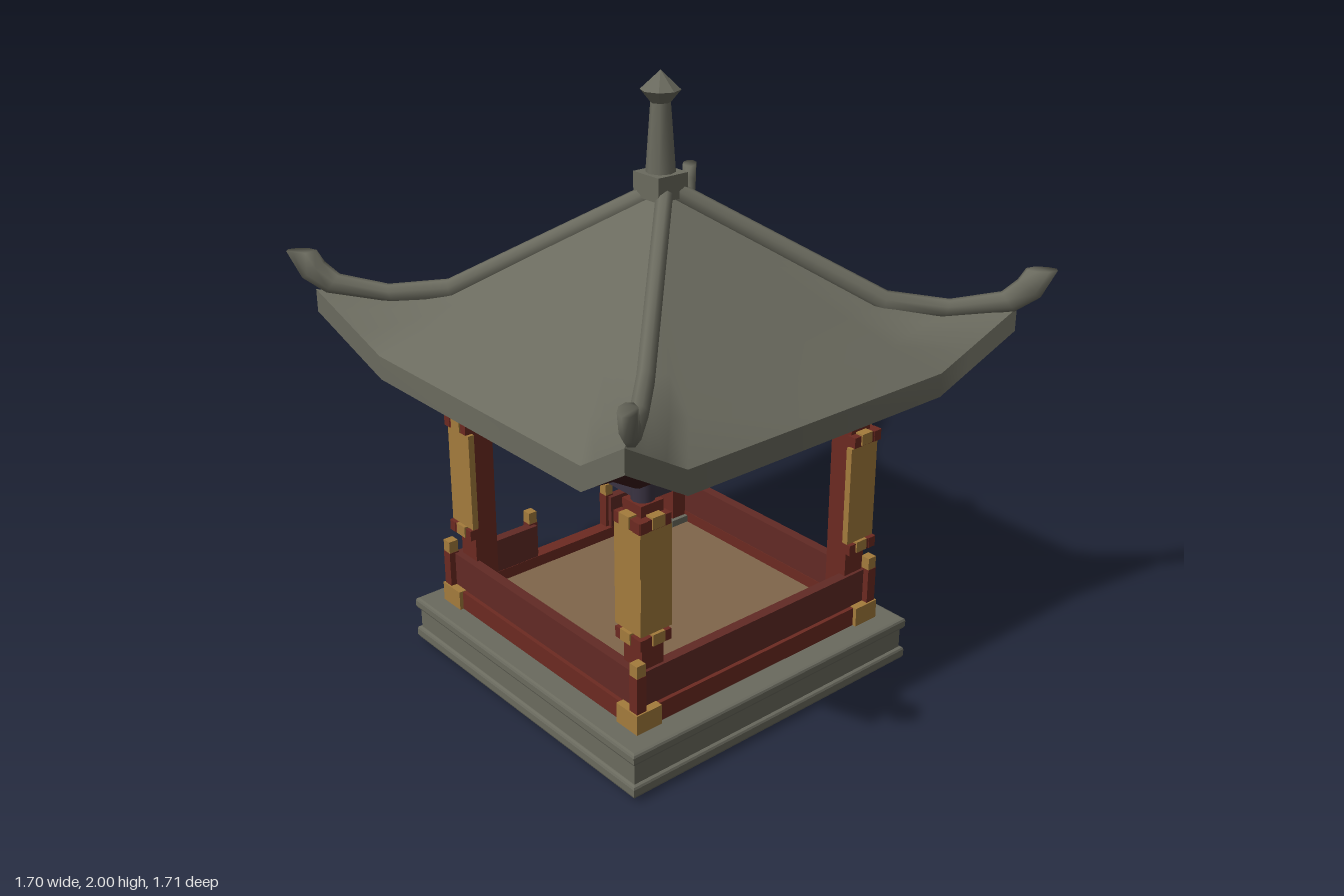
import * as THREE from 'three';

const mat = (name, color) => {
  const m = new THREE.MeshStandardMaterial({ color });
  m.name = name;
  return m;
};

export function createModel() {
  const stone = mat('grey stone', 0x6a6a5e);
  const red = mat('red timber', 0x6c2a21);
  const darkRed = mat('dark red panel', 0x622a25);
  const gold = mat('gold trim', 0xa47b3c);
  const tan = mat('tan floor', 0x80664b);
  const maroon = mat('maroon soffit', 0x3c191a);
  const purple = mat('dark purple beam', 0x3a3342);

  const model = new THREE.Group();
  model.name = 'pavilion';
  const group = (name, offset, parent = model) => {
    const g = new THREE.Group();
    g.name = name;
    g.position.set(offset, 0, offset);
    parent.add(g);
    return g;
  };
  const add = (parent, name, geo, material) => {
    const m = new THREE.Mesh(geo, material);
    m.name = name;
    parent.add(m);
    return m;
  };
  // Box given by its centre in x and z, its size, and its bottom and top heights
  const box = (parent, name, material, x, z, w, d, y0, y1) => {
    const m = add(parent, name, new THREE.BoxGeometry(w, y1 - y0, d), material);
    m.position.set(x, (y0 + y1) / 2, z);
    return m;
  };
  const surface = (pos, index) => {
    const geo = new THREE.BufferGeometry();
    geo.setAttribute('position', new THREE.Float32BufferAttribute(pos, 3));
    geo.setIndex(index);
    geo.computeVertexNormals();
    return geo;
  };
  const square = (h) => [[-h, -h], [h, -h], [h, h], [-h, h]].map(([x, y]) => new THREE.Vector2(x, y));

  // Stone plinth: stacked square rings, open in the middle
  const base = group('base', -0.022);
  const ring = (name, outer, inner, y0, y1, bevel = 0) => {
    const shape = new THREE.Shape(square(outer - bevel));
    shape.holes.push(new THREE.Path(square(inner + bevel)));
    const geo = new THREE.ExtrudeGeometry(shape, {
      depth: y1 - y0 - 2 * bevel, bevelEnabled: bevel > 0,
      bevelSize: bevel, bevelThickness: bevel, bevelSegments: 2,
    });
    geo.rotateX(-Math.PI / 2);
    add(base, name, geo, stone).position.y = y0 + bevel;
  };
  ring('lowerMoulding', 0.59, 0.5, 0.015, 0.058, 0.01);
  ring('plinthWall', 0.578, 0.49, 0.055, 0.135);
  ring('upperMoulding', 0.59, 0.48, 0.13, 0.17, 0.01);
  box(base, 'floor', tan, 0, 0, 0.93, 0.93, 0.185, 0.195);

  // Entrance ramp at the back
  const wedge = new THREE.Shape([[0.57, 0], [0.838, 0], [0.57, 0.16]].map(([a, b]) => new THREE.Vector2(a, b)));
  const rampGeo = new THREE.ExtrudeGeometry(wedge, { depth: 0.325, bevelEnabled: false });
  rampGeo.translate(0, 0, -0.1625);
  rampGeo.rotateY(Math.PI / 2);
  add(base, 'ramp', rampGeo, stone).position.x = 0.003;

  // Low fence, sill beams and corner trim; side 2 faces the back and has a gate
  const fence = group('fence', -0.022);
  for (let i = 0; i < 4; i++) {
    const side = group('fenceSide', 0, fence);
    side.rotation.y = (i * Math.PI) / 2;
    box(side, 'sillBeam', red, 0, 0.48, 0.97, 0.05, 0.165, 0.235);
    box(side, 'cornerTrim', gold, 0.47, 0.47, 0.097, 0.097, 0.166, 0.237);
    box(side, 'cornerPost', red, 0.495, 0.495, 0.036, 0.036, 0.235, 0.36);
    box(side, 'cornerPostCap', gold, 0.495, 0.495, 0.034, 0.034, 0.355, 0.402);
    if (i !== 2) {
      box(side, 'fencePanel', darkRed, 0, 0.474, 0.97, 0.035, 0.23, 0.355);
      continue;
    }
    for (const s of [-1, 1]) {
      box(side, 'fencePanel', darkRed, s * 0.325, 0.474, 0.32, 0.035, 0.23, 0.355);
      box(side, 'gatePost', red, s * 0.17, 0.49, 0.034, 0.036, 0.2, 0.36);
      box(side, 'gatePostCap', gold, s * 0.17, 0.49, 0.032, 0.034, 0.355, 0.402);
      box(side, 'thresholdTrim', gold, s * 0.16, 0.53, 0.035, 0.04, 0.165, 0.203);
    }
    box(side, 'threshold', red, 0, 0.522, 0.3, 0.04, 0.165, 0.198);
  }

  // Columns with boards on the two outer faces, and the beams joining them
  const frame = group('frame', -0.015);
  for (let i = 0; i < 4; i++) {
    const corner = group('columnCorner', 0, frame);
    corner.rotation.y = (i * Math.PI) / 2;
    const c = 0.432;
    box(corner, 'column', red, c, c, 0.084, 0.084, 0.18, 0.9);
    box(corner, 'columnFoot', stone, c, c, 0.115, 0.115, 0.18, 0.22);
    const neck = add(corner, 'columnNeck', new THREE.CylinderGeometry(0.036, 0.036, 0.1, 12), purple);
    neck.position.set(c, 0.945, c);
    // Side beams are purple; the front and back ones are maroon, the front faced in purple
    box(corner, 'topBeam', i % 2 ? purple : maroon, 0, c, 2 * c, 0.036, 0.9, 0.988);
    if (i === 0) box(corner, 'beamFacing', purple, 0, c + 0.02, 2 * c, 0.006, 0.9, 0.988);
    // The same set of parts is laid on the z face and, mirrored, on the x face
    const onBothFaces = (name, material, a, out, w, d, y0, y1) => {
      box(corner, name, material, a, out, w, d, y0, y1);
      box(corner, name, material, out, a, d, w, y0, y1);
    };
    onBothFaces('board', gold, 0.433, 0.482, 0.118, 0.022, 0.485, 0.825);
    for (const y of [0.443, 0.828]) {
      onBothFaces('boardBracket', red, 0.441, 0.484, 0.12, 0.03, y, y + 0.036);
      onBothFaces('boardClip', gold, c, 0.486, 0.046, 0.036, y + 0.004, y + 0.042);
    }
  }

  // Roof: each row is [hip distance, hip height, middle distance, middle height]
  const loft = (rows) => {
    const steps = [-1, -0.89, -0.78, -0.66, 0, 0.66, 0.78, 0.89, 1];
    const pos = [], index = [], n = steps.length;
    rows.forEach(([h, yh, m, ym], r) => steps.forEach((s, k) => {
      const w = Math.max(0, (Math.abs(s) - 0.66) / 0.34);
      pos.push(s * h, ym + (yh - ym) * w, m + (h - m) * w);
      if (r === 0 || k === 0) return;
      const d = r * n + k, a = d - n - 1;
      index.push(a, d - 1, d, a, d, a + 1);
    }));
    return surface(pos, index);
  };
  const eaveTop = [0.775, 1.285, 0.715, 1.12];
  const eaveLow = [0.775, 1.21, 0.715, 1.042];
  const soffitOuter = [0.59, 1.042, 0.59, 1.042];
  const soffitInner = [0.515, 0.988, 0.515, 0.988];
  const roofParts = [
    ['roofTiles', stone, loft([[0, 1.645, 0, 1.645], [0.25, 1.46, 0.25, 1.46], [0.48, 1.285, 0.48, 1.288],
      [0.62, 1.262, 0.6, 1.2], eaveTop])],
    ['eaveFascia', stone, loft([eaveTop, eaveLow])],
    ['soffitEdge', maroon, loft([eaveLow, soffitOuter])],
    ['soffitSlope', maroon, loft([soffitOuter, soffitInner])],
    ['soffitPanel', maroon, loft([soffitInner, [0, 0.988, 0, 0.988]])],
  ];

  // Hip ridge with an upturned tip; rows of [top distance, top height, bottom distance, bottom height]
  const ridgeRows = [
    [0.02, 1.665, 0.02, 1.6], [0.485, 1.328, 0.475, 1.262], [0.62, 1.306, 0.61, 1.252],
    [0.73, 1.335, 0.76, 1.278], [0.762, 1.375, 0.812, 1.325], [0.778, 1.412, 0.843, 1.412],
  ];
  const ridgePos = [], ridgeIndex = [], N = 8;
  ridgeRows.forEach(([dt, yt, db, yb], r) => {
    for (let k = 0; k < N; k++) {
      const a = ((k + 0.5) / N) * Math.PI * 2;
      const across = 0.019 * Math.cos(a), f = 0.5 + 0.54 * Math.sin(a);
      const d = db + (dt - db) * f;
      ridgePos.push(d + across, yb + (yt - yb) * f, d - across);
      const A = r * N + k, B = r * N + ((k + 1) % N);
      if (r < ridgeRows.length - 1) ridgeIndex.push(A, B, B + N, A, B + N, A + N);
      else if (k > 0 && k < N - 1) ridgeIndex.push(r * N, A, B);
    }
  });
  const ridge = surface(ridgePos, ridgeIndex);

  const roof = group('roof', -0.014);
  const ridges = group('ridges', -0.004);
  for (let i = 0; i < 4; i++) {
    const side = group('roofSide', 0, roof);
    side.rotation.y = (i * Math.PI) / 2;
    for (const [name, material, geo] of roofParts) add(side, name, geo, material);
    add(ridges, 'hipRidge', ridge, stone).rotation.y = (i * Math.PI) / 2;
  }

  // Spire with a faceted finial
  box(roof, 'spireCollar', stone, 0, 0, 0.118, 0.118, 1.615, 1.692);
  const shaft = add(roof, 'spireShaft', new THREE.CylinderGeometry(0.031, 0.047, 0.22, 8), stone);
  shaft.position.y = 1.795;
  const profile = [[0, 1.893], [0.026, 1.898], [0.062, 1.942], [0, 2]].map(([r, y]) => new THREE.Vector2(r, y));
  const finial = new THREE.LatheGeometry(profile, 8).toNonIndexed();
  finial.computeVertexNormals();
  add(roof, 'finial', finial, stone);

  return model;
}
